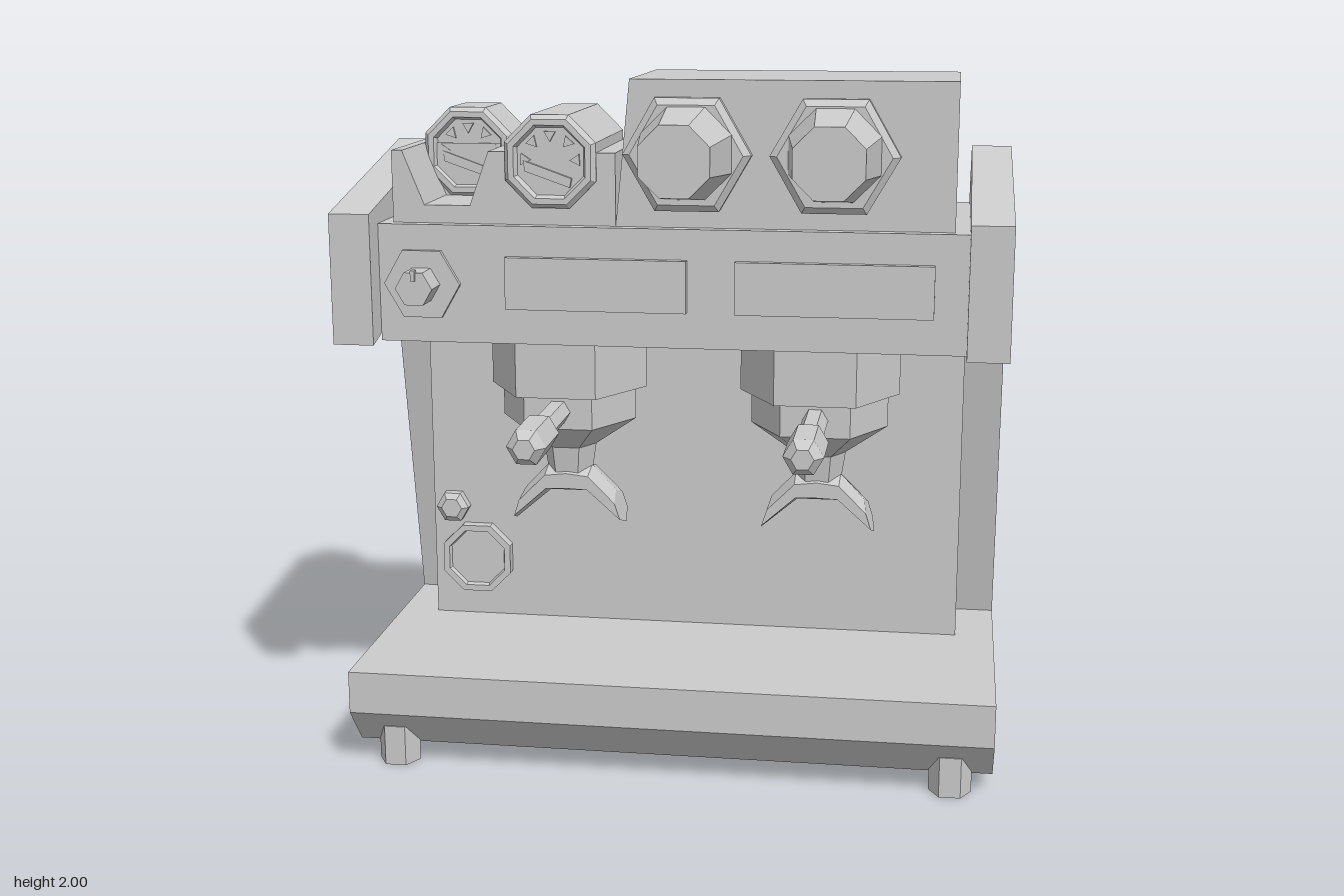
import * as THREE from 'three';

const material = new THREE.MeshStandardMaterial({ color: 0xcccccc, flatShading: true, side: THREE.DoubleSide });

export function createModel() {
  const model = new THREE.Group();

  const add = (name, geometry, x = 0, y = 0, z = 0, parent = model) => {
    const mesh = new THREE.Mesh(geometry, material);
    mesh.name = name;
    mesh.position.set(x, y, z);
    parent.add(mesh);
    return mesh;
  };
  const shapeOf = (pts) => new THREE.Shape(pts.map(([x, y]) => new THREE.Vector2(x, y)));
  const extrude = (pts, depth) => new THREE.ExtrudeGeometry(shapeOf(pts), { depth, bevelEnabled: false });
  // Side profile given as [z, y], extruded from x0 to x1
  const profile = (pts, x0, x1) =>
    extrude(pts.map(([z, y]) => [-z, y]), x1 - x0).rotateY(Math.PI / 2).translate(x0, 0, 0);
  // Faceted turned part about y; profile is [radius, height], flat side up/down
  const turned = (pts, sides) =>
    new THREE.LatheGeometry(pts.map(([r, h]) => new THREE.Vector2(r, h)), sides, Math.PI / sides);
  // The same, pointing to the front
  const turnedZ = (pts, sides) => turned(pts, sides).rotateX(Math.PI / 2);

  // Side panels
  const sideProfile = [[0.4, 1.27], [0.4, 1.635], [-0.3, 1.78], [-0.5, 1.635], [-0.7, 0.155], [-0.6, 0.055],
    [0.3, 0.055], [0.4, 0.175], [0.4, 0.3], [-0.41, 0.3], [-0.19, 1.425]];
  add('leftSidePanel', profile(sideProfile, 0.815, 0.93));
  add('rightSidePanel', profile(sideProfile, -0.93, -0.815));

  // Central body: base tray, back wall and head
  add('body', profile([[0.4, 0.3], [-0.165, 0.3], [-0.165, 1.27], [0.32, 1.27], [0.32, 1.6], [-0.405, 1.6],
    [-0.5, 1.48], [-0.7, 0.155], [-0.6, 0.055], [0.3, 0.055], [0.4, 0.175]], -0.815, 0.815));

  // Tall hood with a leaning right end
  const hood = profile([[0.285, 1.6], [0.285, 2], [-0.19, 2], [-0.405, 1.78], [-0.405, 1.6]], -0.15, 0.775);
  const hp = hood.attributes.position;
  for (let i = 0; i < hp.count; i++) {
    if (hp.getX(i) < 0 && hp.getY(i) > 1.8) hp.setX(i, -0.15 + (hp.getY(i) - 1.8) * 0.2);
  }
  add('hood', hood);

  // Low deck beside the hood, with a trough in front of the rear gauge
  add('gaugeDeck', profile([[0.05, 1.6], [0.05, 1.8], [-0.19, 1.8], [-0.405, 1.6]], -0.78, -0.15));
  add('gaugeDeckFront', extrude([[-0.78, 1.6], [-0.15, 1.6], [-0.15, 1.8], [-0.505, 1.8], [-0.56, 1.65],
    [-0.69, 1.65], [-0.75, 1.8], [-0.78, 1.8]], 0.235), 0, 0, 0.05);

  // Feet
  for (const x of [-0.81, 0.81]) {
    for (const z of [0.305, -0.615]) {
      add('foot', turned([[0, 0], [0.061, 0], [0.061, 0.12], [0, 0.12]], 6), x, 0, z);
    }
  }

  // Pressure gauges: octagonal can, recessed dial, ticks and needle
  const gauge = (x, front) => {
    const g = new THREE.Group();
    g.name = 'pressureGauge';
    g.position.set(x, 1.775, front);
    model.add(g);
    const back = -0.14 - front;
    add('gaugeCan', turnedZ([[0, back - 0.025], [0.09, back - 0.025], [0.138, back], [0.138, -0.015],
      [0.125, 0], [0.108, 0], [0.1, -0.02], [0, -0.02]], 8), 0, 0, 0, g);
    for (let i = 0; i < 5; i++) {
      const tick = add('gaugeTick', extrude([[-0.016, 0.012], [0, -0.016], [0.016, 0.012]], 0.008), 0, 0, -0.02, g);
      const a = (i - 2) * 0.75;
      tick.position.set(-Math.sin(a) * 0.07, Math.cos(a) * 0.07, -0.02);
      tick.rotation.z = a;
    }
    const needle = add('gaugeNeedle', extrude([[-0.075, 0.018], [0.06, -0.03], [0.055, -0.055], [-0.07, -0.012]], 0.012),
      0, 0, -0.02, g);
    needle.position.y = -0.015;
  };
  gauge(-0.62, 0.065);
  gauge(-0.33, 0.305);

  // Steam knobs on hexagonal plates
  for (const x of [0.05, 0.45]) {
    add('knobPlate', turnedZ([[0, 0], [0.176, 0], [0.176, 0.025], [0.155, 0.04], [0, 0.04]], 6), x, 1.8, 0.285);
    add('steamKnob', turnedZ([[0, 0], [0.135, 0], [0.102, 0.23], [0, 0.23]], 8), x, 1.805, 0.32);
  }

  // Front displays and power switch
  add('display', new THREE.BoxGeometry(0.505, 0.145, 0.04), -0.2, 1.443, 0.323);
  add('display', new THREE.BoxGeometry(0.54, 0.145, 0.04), 0.455, 1.443, 0.323);
  add('switchPlate', turnedZ([[0, 0], [0.108, 0], [0.108, 0.02], [0, 0.02]], 6), -0.69, 1.435, 0.315);
  add('switchKnob', turnedZ([[0, 0], [0.052, 0], [0.052, 0.085], [0, 0.085]], 6), -0.69, 1.435, 0.335);
  add('switchMark', new THREE.BoxGeometry(0.012, 0.03, 0.02), -0.69, 1.472, 0.418);

  // Pressure window and hex nut on the back wall
  add('wallGauge', turnedZ([[0, 0], [0.115, 0], [0.115, 0.035], [0.095, 0.035], [0.09, 0.02], [0, 0.02]], 8),
    -0.675, 0.49, -0.165);
  add('wallNut', turnedZ([[0, 0], [0.051, 0], [0.051, 0.03], [0.032, 0.045], [0, 0.045]], 6), -0.75, 0.653, -0.165);

  // Spout leg: hexagonal rings lofted between top and bottom points [x, y]
  const spoutLeg = (side) => {
    const rings = [[[0, 0.88], [0, 0.79]], [[0.065, 0.87], [0.06, 0.79]], [[0.135, 0.795], [0.165, 0.7]]];
    const pos = [], index = [];
    for (const [top, bottom] of rings) {
      for (let i = 0; i < 6; i++) {
        const a = (i * Math.PI) / 3, t = (1 - Math.cos(a)) / 2;
        pos.push(side * THREE.MathUtils.lerp(top[0], bottom[0], t),
          THREE.MathUtils.lerp(top[1], bottom[1], t), 0.08 * Math.sin(a));
      }
    }
    const tri = (a, b, c) => (side > 0 ? index.push(a, b, c) : index.push(a, c, b));
    for (let r = 0; r < 2; r++) {
      for (let i = 0; i < 6; i++) {
        const a = r * 6 + i, b = r * 6 + ((i + 1) % 6);
        tri(a, b, a + 6);
        tri(b, b + 6, a + 6);
      }
    }
    for (let i = 1; i < 5; i++) tri(12, 12 + i, 13 + i);
    const geo = new THREE.BufferGeometry();
    geo.setAttribute('position', new THREE.Float32BufferAttribute(pos, 3));
    geo.setIndex(index);
    geo.computeVertexNormals();
    return geo;
  };

  // Brew groups with portafilter, handle and twin spout
  for (const x of [-0.325, 0.405]) {
    const g = new THREE.Group();
    g.name = 'brewGroup';
    g.position.set(x, 0, 0.095);
    model.add(g);
    add('groupHead', turned([[0, 1.11], [0.228, 1.11], [0.228, 1.28], [0, 1.28]], 6), 0, 0, 0, g);
    add('portafilter', turned([[0, 0.83], [0.065, 0.85], [0.078, 0.935], [0.196, 1.015], [0.196, 1.115], [0, 1.115]], 6),
      0, 0, 0, g);
    add('handle', turnedZ([[0, 0.1], [0.036, 0.1], [0.036, 0.41], [0.054, 0.41], [0.054, 0.575], [0.03, 0.605],
      [0, 0.605]], 6), 0, 1.065, 0, g);
    add('leftSpout', spoutLeg(1), 0, 0, 0, g);
    add('rightSpout', spoutLeg(-1), 0, 0, 0, g);
  }

  return model;
}
